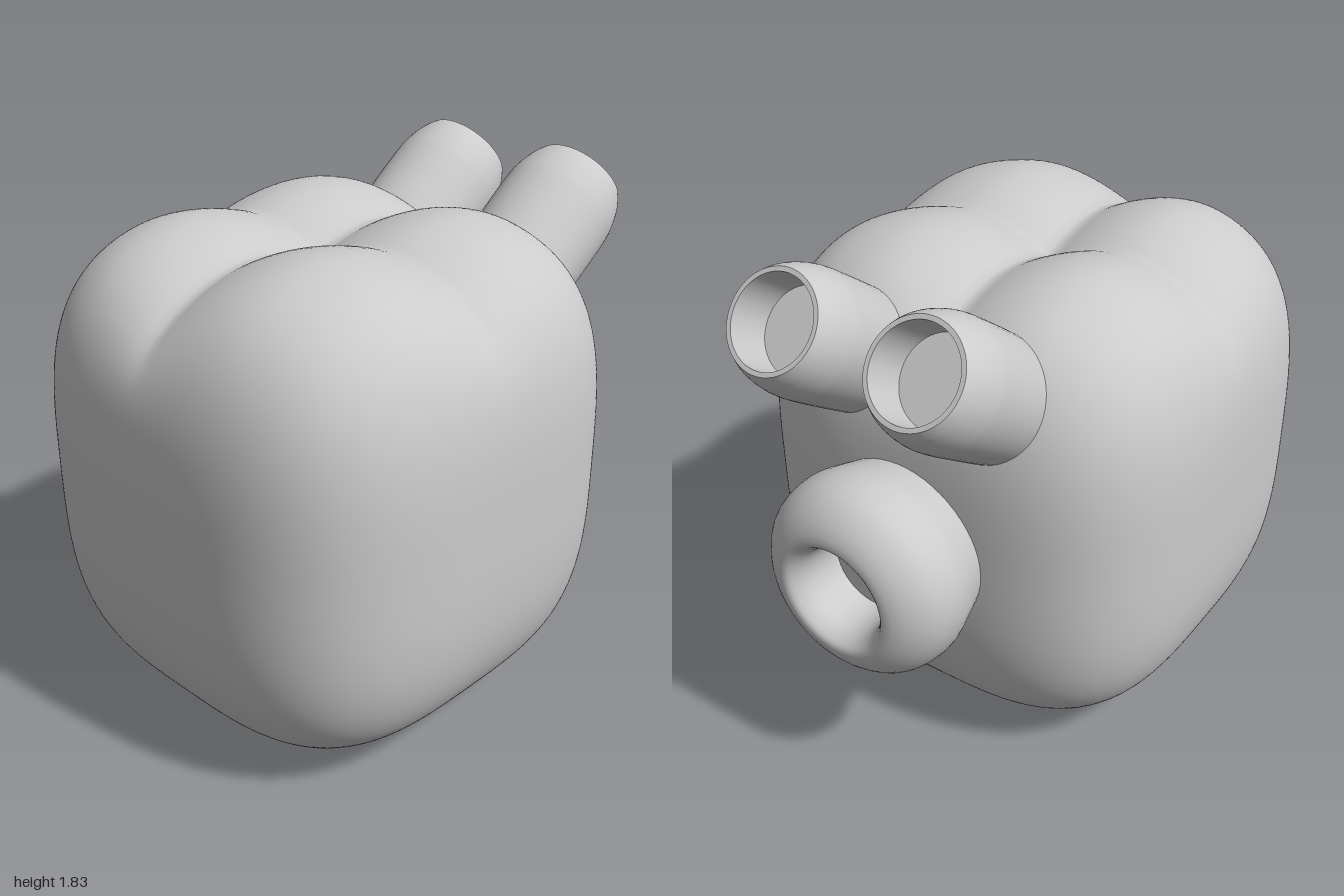
import * as THREE from 'three';
import { mergeVertices, toCreasedNormals } from 'three/addons/utils/BufferGeometryUtils.js';

const material = new THREE.MeshStandardMaterial({ color: 0xcccccc });

function part(name, geometry) {
  const mesh = new THREE.Mesh(geometry, material);
  mesh.name = name;
  return mesh;
}

// Rounded cube with a cross-shaped groove dividing its top into four lobes
function bodyGeometry() {
  const power = 3.3;
  let geo = new THREE.BoxGeometry(2, 2, 2, 56, 56, 56);
  geo.deleteAttribute('uv');
  geo.deleteAttribute('normal');
  geo = mergeVertices(geo);
  const pos = geo.attributes.position;
  const v = new THREE.Vector3();
  const groove = (d) => Math.max(0, 1 - Math.abs(d) / 0.38) ** 2;
  for (let i = 0; i < pos.count; i++) {
    v.fromBufferAttribute(pos, i);
    const n = (Math.abs(v.x) ** power + Math.abs(v.y) ** power + Math.abs(v.z) ** power) ** (1 / power);
    v.divideScalar(n);
    const fade = THREE.MathUtils.smoothstep(v.y, 0.45, 0.95);
    const x = v.x * 0.82;
    const z = v.z * 0.815;
    const dip = fade * (0.07 * groove(x) + 0.11 * groove(z + 0.04));
    pos.setXYZ(i, x, 0.87 + v.y * (v.y > 0 ? 0.89 : 0.865) - dip, z);
  }
  geo.computeVertexNormals();
  return geo;
}

// Turned part: a smooth outer curve ending at the rim, then a blind hole
function turned(outer, hole) {
  const toVectors = (list) => list.map(([r, y]) => new THREE.Vector2(r, y));
  const points = new THREE.SplineCurve(toVectors(outer)).getPoints(32).concat(toVectors(hole));
  return toCreasedNormals(new THREE.LatheGeometry(points, 56), 0.6);
}

export function createModel() {
  const model = new THREE.Group();
  model.name = 'lobedCubeCreature';
  model.position.x = -0.18;
  model.rotation.y = -0.063;

  model.add(part('body', bodyGeometry()));

  // Two hollow eye stalks pointing forward and up
  const stalk = turned(
    [[0.2, -0.62], [0.21, -0.4], [0.213, -0.18], [0.205, -0.1], [0.188, -0.04], [0.168, 0]],
    [[0.152, 0], [0.148, -0.16], [0, -0.16]]
  );
  for (const side of [-1, 1]) {
    const eye = part(side > 0 ? 'rightEyeStalk' : 'leftEyeStalk', stalk);
    eye.position.set(1.035, 1.7, side * 0.265);
    eye.rotation.z = -THREE.MathUtils.degToRad(54);
    model.add(eye);
  }

  // Round bulging mouth with a flared hole
  const mouth = part('mouth', turned(
    [[0.29, -0.46], [0.31, -0.38], [0.338, -0.29], [0.358, -0.2], [0.34, -0.1],
      [0.28, -0.03], [0.21, 0], [0.175, -0.025], [0.155, -0.08], [0.15, -0.2]],
    [[0, -0.2]]
  ));
  mouth.position.set(1.168, 0.85, 0);
  mouth.rotation.z = -Math.PI / 2;
  model.add(mouth);

  const root = new THREE.Group();
  root.add(model);
  return root;
}
